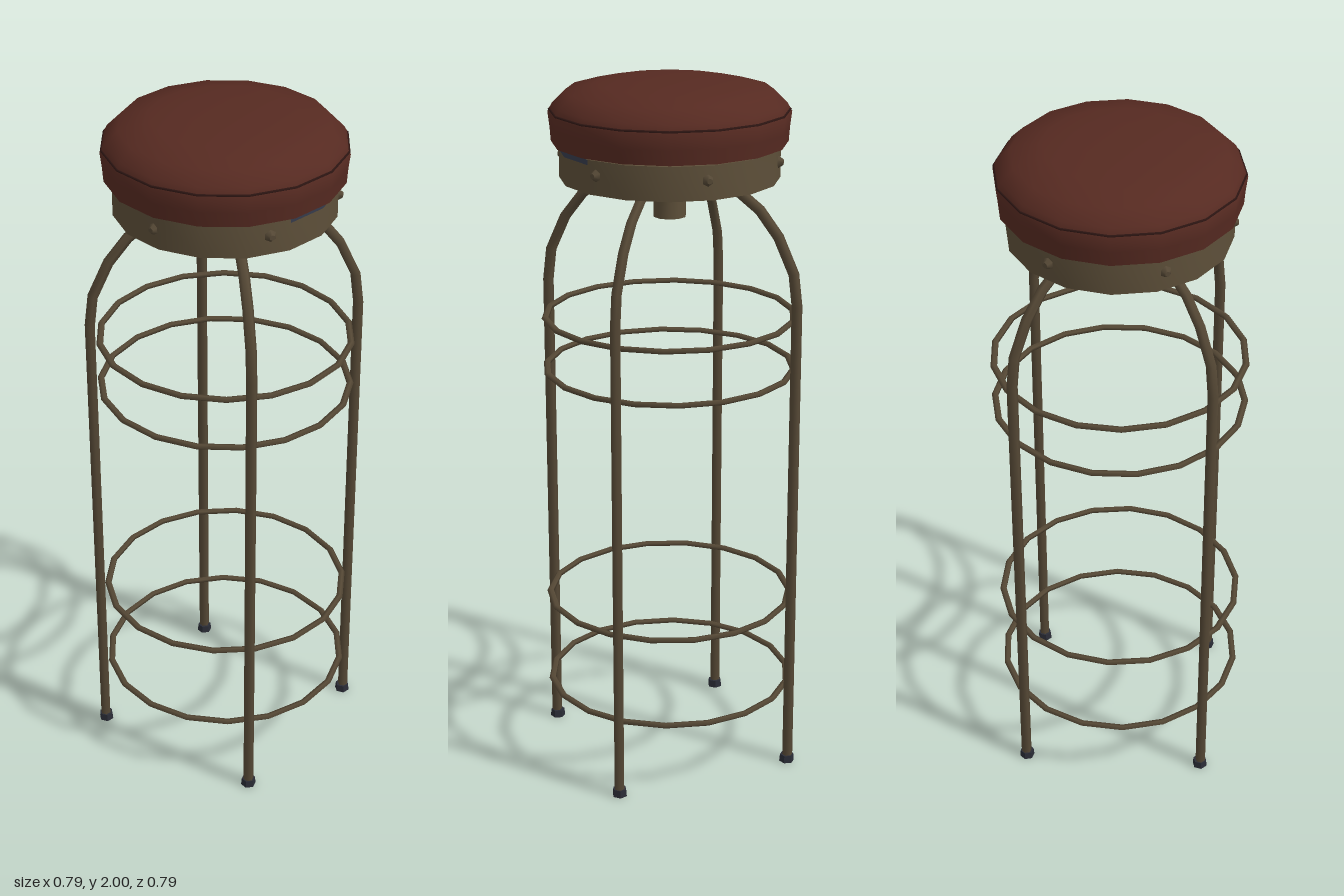
import * as THREE from 'three';
import { toCreasedNormals } from 'three/addons/utils/BufferGeometryUtils.js';

const paint = (name, color) => {
  const m = new THREE.MeshStandardMaterial({ color });
  m.name = name;
  return m;
};

export function createModel() {
  const leather = paint('brown red leather', 0x562a21);
  const seam = paint('dark seam', 0x2e1613);
  const metal = paint('aged bronze metal', 0x5d4f39);
  const darkMetal = paint('darker bronze metal', 0x554835);
  const steel = paint('dark blue steel', 0x363b4b);
  const rubber = paint('dark blue rubber', 0x2a2c36);

  const stool = new THREE.Group();
  stool.name = 'barStool';
  const add = (name, geometry, material, parent = stool) => {
    const mesh = new THREE.Mesh(geometry, material);
    mesh.name = name;
    parent.add(mesh);
    return mesh;
  };
  const lathe = (points, sides, crease = 0.75) => toCreasedNormals(
    new THREE.LatheGeometry(points.map(([r, y]) => new THREE.Vector2(r, y)), sides), crease);

  // Padded cushion with its thin piped seam
  add('seatCushion', lathe([
    [0, 1.83], [0.325, 1.83], [0.328, 1.87], [0.333, 1.912],
    [0.32, 1.935], [0.285, 1.97], [0.2, 1.99], [0.1, 1.998], [0, 2],
  ], 16), leather);
  const piping = add('seatSeam', new THREE.TorusGeometry(0.328, 0.004, 4, 16), seam);
  piping.rotation.x = Math.PI / 2;
  piping.position.y = 1.918;

  // Hollow metal band under the cushion, with a steel lining
  add('seatBand', lathe([
    [0.292, 1.73], [0.304, 1.73], [0.304, 1.823], [0.292, 1.823],
  ], 16), metal);
  add('bandLining', lathe([[0.292, 1.823], [0.292, 1.73]], 16), steel);

  // Worn steel strip on the front left top edge of the band
  const strip = add('bandEdgeStrip', new THREE.CylinderGeometry(
    0.306, 0.306, 0.014, 2, 1, true, Math.PI / 8, Math.PI / 4), steel);
  strip.position.y = 1.816;

  // Rivets round the band
  for (let i = 0; i < 6; i++) {
    const a = THREE.MathUtils.degToRad(12 + i * 60);
    const rivet = add('rivet', new THREE.CylinderGeometry(0.008, 0.017, 0.014, 6), darkMetal);
    rivet.position.set(Math.sin(a) * 0.307, 1.783, Math.cos(a) * 0.307);
    rivet.rotation.set(Math.PI / 2, a, 0, 'YXZ');
  }

  // Square mounting plate below the cushion, turned between the legs
  const plate = add('mountingPlate', new THREE.BoxGeometry(0.25, 0.014, 0.25), steel);
  plate.position.y = 1.815;
  plate.rotation.y = Math.PI / 4;

  // Central hub
  const hub = add('hub', toCreasedNormals(new THREE.CylinderGeometry(0.046, 0.046, 0.19, 10), 0.75), metal);
  hub.position.y = 1.715;

  // Four legs: straight below, arching in to the hub, each with a foot
  const profile = [
    [0.377, 0.01], [0.377, 1.4], [0.366, 1.49], [0.32, 1.59],
    [0.265, 1.66], [0.19, 1.715], [0.11, 1.752], [0.03, 1.765],
  ].map(([x, y]) => new THREE.Vector3(x, y, 0));
  const last = profile.length - 1;
  const path = new THREE.Curve();
  // Sample exactly at the bends
  path.getPointAt = (u, target = new THREE.Vector3()) => target.copy(profile[Math.round(u * last)]);
  path.getTangentAt = (u, target = new THREE.Vector3()) => {
    const i = Math.round(u * last);
    const a = profile[Math.max(i - 1, 0)], b = profile[i], c = profile[Math.min(i + 1, last)];
    const into = b.clone().sub(a).normalize(), out = c.clone().sub(b).normalize();
    return target.copy(into).add(out).normalize();
  };
  const legGeometry = new THREE.TubeGeometry(path, last, 0.015, 6, false);
  const footGeometry = toCreasedNormals(new THREE.CylinderGeometry(0.02, 0.022, 0.022, 6), 0.5);
  for (let i = 0; i < 4; i++) {
    const leg = new THREE.Group();
    leg.name = 'leg';
    leg.rotation.y = i * Math.PI / 2;
    add('legTube', legGeometry, darkMetal, leg);
    add('foot', footGeometry, rubber, leg).position.set(0.375, 0.011, 0);
    stool.add(leg);
  }

  // Hoops inside the legs: two high, two as footrests
  const hoopGeometry = new THREE.TorusGeometry(0.351, 0.01, 5, 18);
  hoopGeometry.rotateX(Math.PI / 2);
  hoopGeometry.scale(1, 0.8, 1);
  [1.337, 1.185, 0.49, 0.225].forEach((y, i) => {
    const hoop = add(i < 2 ? 'upperHoop' : 'footrestHoop', hoopGeometry, darkMetal);
    hoop.position.y = y;
    hoop.rotation.y = i * 0.12;
  });

  return stool;
}
